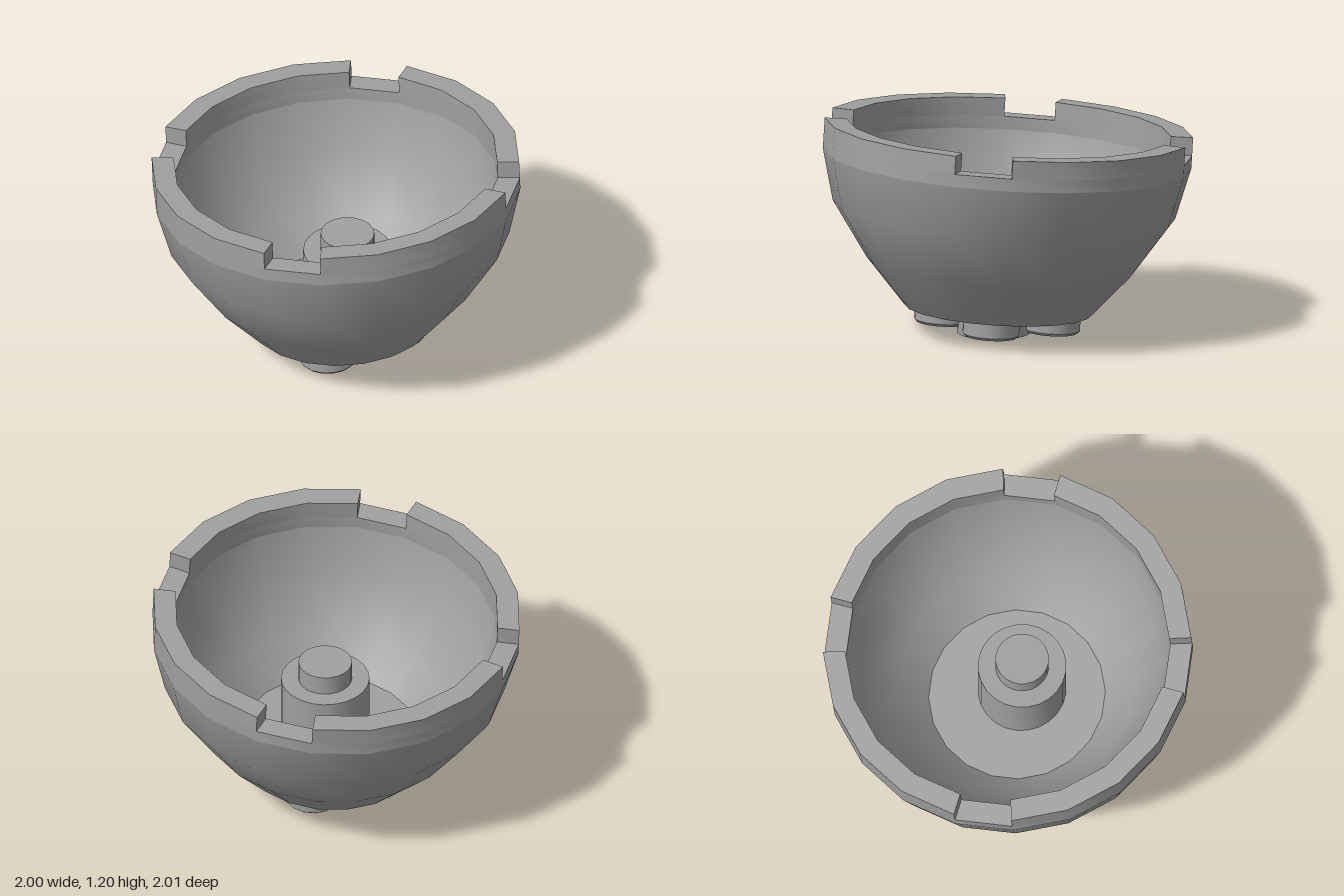
import * as THREE from 'three';
import { toCreasedNormals } from 'three/addons/utils/BufferGeometryUtils.js';

const SIDES = 20;
const STEP = (Math.PI * 2) / SIDES;
const OUTER = 1.0, INNER = 0.88;         // rim radii
const BAND = 0.83, NOTCH = 0.9, TOP = 1; // heights along the bowl axis

const grey = new THREE.MeshStandardMaterial({ color: 0xa0a0a0 });
grey.name = 'light grey';

// Revolve a profile, keeping sharp corners sharp
function turned(name, points, sides = SIDES, start = 0, length = Math.PI * 2) {
  const profile = points.map(([r, y]) => new THREE.Vector2(r, y));
  const geometry = new THREE.LatheGeometry(profile, sides, start, length);
  const mesh = new THREE.Mesh(toCreasedNormals(geometry, 0.5), grey);
  mesh.name = name;
  return mesh;
}

// Upright wall closing one end of a rim section
function rimEnd(angle, turn) {
  const mesh = new THREE.Mesh(new THREE.PlaneGeometry(OUTER - INNER, TOP - NOTCH), grey);
  const r = (OUTER + INNER) / 2;
  mesh.position.set(Math.sin(angle) * r, (TOP + NOTCH) / 2, Math.cos(angle) * r);
  mesh.rotation.y = angle + turn;
  mesh.name = 'rimEnd';
  return mesh;
}

export function createModel() {
  const model = new THREE.Group();
  model.name = 'tiltedBowl';

  // Bowl leans slightly backwards
  const bowl = new THREE.Group();
  bowl.name = 'bowl';
  bowl.position.set(0, 0.12, 0.07);
  bowl.rotation.x = -0.075;
  model.add(bowl);

  bowl.add(
    turned('outerShell', [[0.17, 0], [0.51, 0], [0.73, 0.25], [0.93, 0.55], [OUTER, BAND]]),
    turned('outerBand', [[OUTER, BAND], [OUTER, NOTCH]]),
    turned('innerBand', [[INNER, NOTCH], [INNER, BAND]]),
    turned('innerShell', [[INNER, BAND], [0.82, 0.55], [0.64, 0.26], [0.48, 0.1], [0.17, 0.1]])
  );

  // Four raised rim sections separated by notches on the diagonals
  for (let i = 0; i < 4; i++) {
    const notchStart = (i * 5 + 2) * STEP;
    const start = notchStart + STEP;
    const length = 4 * STEP;
    bowl.add(
      turned('notchFloor', [[OUTER, NOTCH], [INNER, NOTCH]], 1, notchStart, STEP),
      turned('rimSection', [[OUTER, NOTCH], [OUTER, TOP], [INNER, TOP], [INNER, NOTCH]], 4, start, length),
      rimEnd(start, -Math.PI / 2),
      rimEnd(start + length, Math.PI / 2)
    );
  }

  // Four round feet under the bowl
  for (const x of [-1, 1]) {
    for (const z of [-1, 1]) {
      const foot = turned('foot', [[0, -0.1], [0.14, -0.1], [0.155, -0.085], [0.155, 0]], 16);
      foot.position.set(x * 0.217, 0, z * 0.207);
      bowl.add(foot);
    }
  }

  // Upright hollow post through the floor, with a stud on top
  const post = turned('centrePost', [
    [0, 0.5], [0.145, 0.5], [0.145, 0], [0.2, 0], [0.2, 0.13],
    [0.24, 0.13], [0.24, 0.58], [0.145, 0.58], [0.145, 0.69], [0, 0.69]
  ], 24);
  post.position.set(0.01, 0, 0.105);
  model.add(post);

  return model;
}
